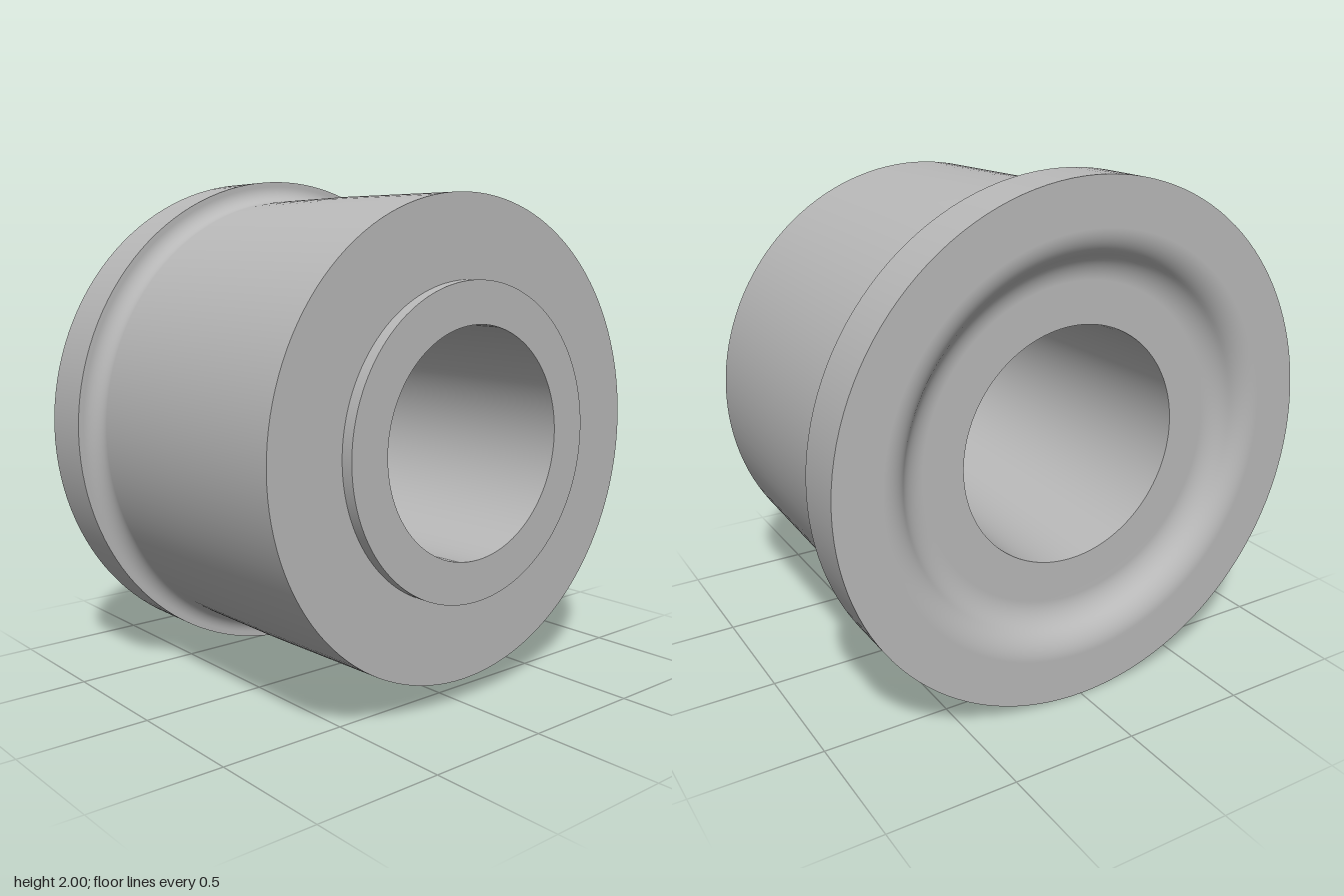
import * as THREE from 'three';

// Points of an arc in the (radius, z) plane, angles in degrees
function arc(r, z, radius, from, to, steps = 10) {
  return Array.from({ length: steps + 1 }, (_, i) => {
    const a = THREE.MathUtils.degToRad(from + (to - from) * i / steps);
    return [r + radius * Math.cos(a), z + radius * Math.sin(a)];
  });
}

export function createModel() {
  const group = new THREE.Group();
  group.name = 'flangedBushing';
  const grey = new THREE.MeshStandardMaterial({ color: 0xb8b8b8 });
  grey.name = 'grey';

  // One surface of revolution about z; each is smooth, with sharp edges between them
  function surface(name, profile) {
    const points = profile.map(([r, z]) => new THREE.Vector2(r, z));
    const geometry = new THREE.LatheGeometry(points, 128);
    geometry.rotateX(Math.PI / 2);
    const mesh = new THREE.Mesh(geometry, grey);
    mesh.name = name;
    mesh.position.y = 1;
    group.add(mesh);
  }

  // Back face: flat hub, S-curved dish wall, flat outer ring
  surface('dishedBackFace', [
    [0.46, -0.58],
    ...arc(0.62, -0.705, 0.125, 90, 36.87),
    ...arc(0.82, -0.555, 0.125, 216.87, 270).slice(1),
    [1, -0.68],
  ]);

  // Collar rim
  surface('collarRim', [[1, -0.68], [1, -0.47]]);

  // Collar shoulder, fillet and slightly tapered body
  surface('filletedBody', [
    [1, -0.47],
    ...arc(0.98, -0.405, 0.065, 270, 180),
    [0.915, 0.05],
    [0.905, 0.63],
  ]);

  // Front face and raised boss
  surface('frontFace', [[0.905, 0.63], [0.595, 0.63]]);
  surface('bossSide', [[0.595, 0.63], [0.595, 0.68]]);
  surface('bossFace', [[0.595, 0.68], [0.435, 0.68]]);

  // Drafted through bore
  surface('bore', [[0.435, 0.68], [0.46, -0.58]]);

  return group;
}
